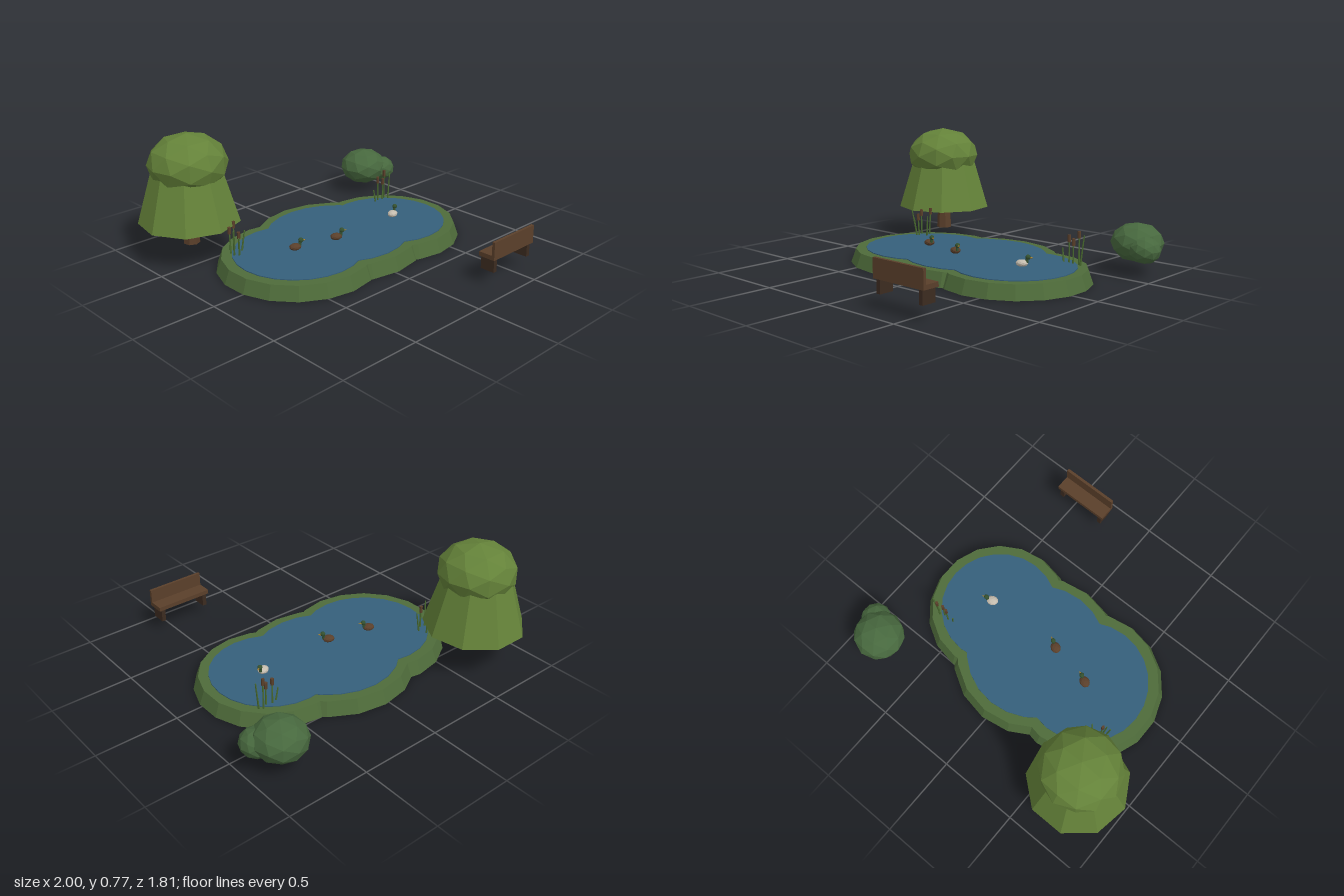
import * as THREE from 'three';

const mat = (name, color) => {
  const m = new THREE.MeshStandardMaterial({ color, flatShading: true });
  m.name = name;
  return m;
};

export function createModel() {
  const root = new THREE.Group();
  root.name = 'pondGarden';
  const M = {
    bank: mat('bank green', 0x4e6b3a),
    water: mat('water blue', 0x355f7b),
    leaf: mat('tree green', 0x648239),
    bush: mat('bush green', 0x47683e),
    wood: mat('wood brown', 0x5a3f2a),
    dark: mat('dark wood', 0x3c2b20),
    pale: mat('pale feathers', 0xc4bcae),
    head: mat('dark green feathers', 0x34502f),
    beak: mat('beak ochre', 0xa8802c),
    stem: mat('reed green', 0x48692f),
  };

  const add = (parent, name, geo, material, x, y, z) => {
    const mesh = new THREE.Mesh(geo, material);
    mesh.name = name;
    mesh.position.set(x, y, z);
    parent.add(mesh);
    return mesh;
  };
  const group = (name, x = 0, y = 0, z = 0) => {
    const g = new THREE.Group();
    g.name = name;
    g.position.set(x, y, z);
    root.add(g);
    return g;
  };
  // faceted ball squashed to the given radii
  const blob = (rx, ry, rz, detail = 1) => new THREE.IcosahedronGeometry(1, detail).scale(rx, ry, rz);

  // pond: three overlapping lobes of tapered bank with water discs on top
  const pond = group('pond');
  const lobes = [
    [-0.335, -0.083, 0.475, 0.38],
    [0.025, -0.125, 0.52, 0.43],
    [0.39, -0.055, 0.45, 0.36],
  ];
  for (const [x, z, r, waterR] of lobes) {
    add(pond, 'bank', new THREE.CylinderGeometry(r - 0.03, r, 0.084, 18), M.bank, x, 0.042, z);
    add(pond, 'water', new THREE.CylinderGeometry(waterR, waterR, 0.01, 24), M.water, x, 0.084, z);
  }

  // tree
  const tree = group('tree', -0.7, 0, -0.62);
  add(tree, 'trunk', new THREE.CylinderGeometry(0.04, 0.05, 0.2, 7), M.wood, 0, 0.185, 0);
  add(tree, 'lowerFoliage', new THREE.CylinderGeometry(0.2, 0.304, 0.345, 9), M.leaf, 0, 0.4075, 0);
  add(tree, 'crown', blob(0.237, 0.177, 0.237), M.leaf, 0, 0.59, 0.01);

  // bush
  const bush = group('bush');
  add(bush, 'largeBush', blob(0.157, 0.118, 0.157), M.bush, 0.806, 0.183, -0.683);
  add(bush, 'smallBush', blob(0.095, 0.082, 0.095), M.bush, 0.902, 0.162, -0.61);

  // bench facing the pond
  const bench = group('bench', 0.425, 0, 0.85);
  add(bench, 'seat', new THREE.BoxGeometry(0.36, 0.026, 0.105), M.wood, 0, 0.178, -0.004);
  add(bench, 'backrest', new THREE.BoxGeometry(0.36, 0.11, 0.018), M.wood, 0, 0.22, 0.041);
  for (const s of [-1, 1]) {
    add(bench, 'leg', new THREE.BoxGeometry(0.026, 0.08, 0.09), M.dark, s * 0.152, 0.125, -0.005);
  }

  // reeds: base x, z, top x, z, top height, has a seed head
  const reeds = [
    [-0.63, -0.33, -0.635, -0.33, 0.25, 1],
    [-0.585, -0.355, -0.58, -0.362, 0.262, 1],
    [-0.605, -0.28, -0.61, -0.275, 0.23, 1],
    [-0.635, -0.29, -0.655, -0.265, 0.25, 0],
    [-0.615, -0.27, -0.625, -0.255, 0.2, 0],
    [-0.565, -0.31, -0.548, -0.3, 0.215, 0],
    [0.645, -0.325, 0.643, -0.325, 0.28, 1],
    [0.58, -0.32, 0.578, -0.32, 0.25, 1],
    [0.615, -0.31, 0.615, -0.31, 0.235, 1],
    [0.55, -0.31, 0.535, -0.315, 0.17, 0],
    [0.665, -0.31, 0.685, -0.315, 0.26, 0],
  ];
  const reedGroup = group('reeds');
  const up = new THREE.Vector3(0, 1, 0);
  for (const [bx, bz, tx, tz, top, seed] of reeds) {
    const a = new THREE.Vector3(bx, 0.08, bz);
    const dir = new THREE.Vector3(tx, top, tz).sub(a);
    const len = dir.length();
    const reed = new THREE.Group();
    reed.name = 'reed';
    reed.position.copy(a);
    reed.quaternion.setFromUnitVectors(up, dir.normalize());
    reedGroup.add(reed);
    const stemLen = seed ? len - 0.02 : len;
    add(reed, 'stem', new THREE.CylinderGeometry(0.004, 0.006, stemLen, 5), M.stem, 0, stemLen / 2, 0);
    if (seed) add(reed, 'seedHead', new THREE.CylinderGeometry(0.01, 0.01, 0.042, 6), M.wood, 0, len - 0.021, 0);
  }

  // ducks: x, z, turn about y, feathers
  const ducks = [
    [-0.335, -0.1, -0.35, M.wood],
    [-0.06, -0.043, -0.45, M.wood],
    [0.443, -0.055, 0.4, M.pale],
  ];
  for (const [x, z, turn, feathers] of ducks) {
    const duck = group('duck', x, 0, z);
    duck.rotation.y = turn;
    add(duck, 'body', blob(0.037, 0.021, 0.031), feathers, 0, 0.108, 0);
    add(duck, 'neck', new THREE.CylinderGeometry(0.008, 0.01, 0.03, 6), M.head, 0.03, 0.127, 0);
    add(duck, 'head', blob(0.016, 0.015, 0.015), M.head, 0.036, 0.145, 0);
    const beak = new THREE.ConeGeometry(0.007, 0.02, 5).rotateZ(-Math.PI / 2);
    add(duck, 'beak', beak, M.beak, 0.058, 0.143, 0);
  }

  return root;
}
